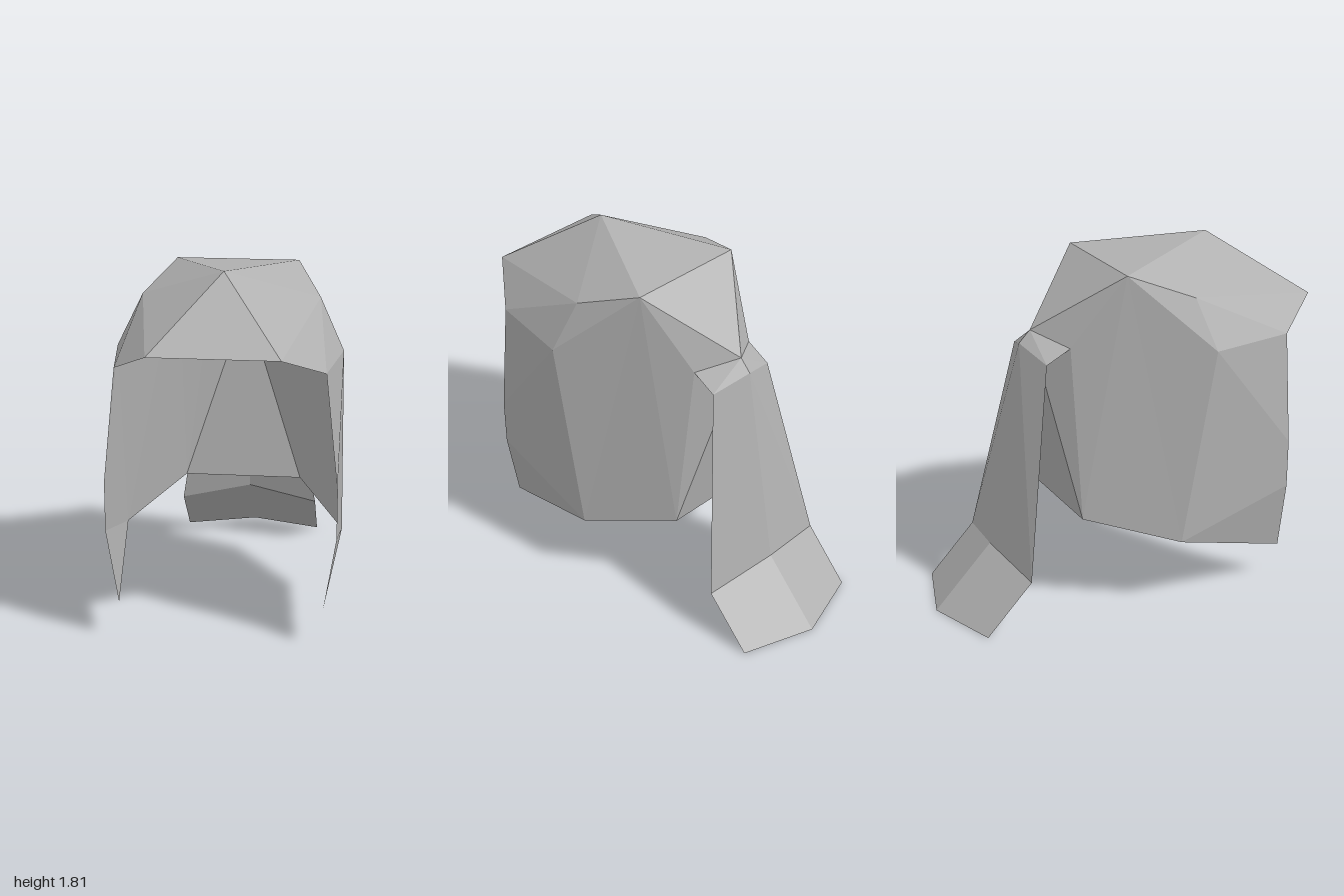
import * as THREE from 'three';

// Key points of the left half (+x); the right half is mirrored.
const P = {
  top: [0, 1.813, 0.56], fringeTip: [0.31, 1.5, 1], crownBack: [0.31, 1.75, -0.06],
  temple: [0.44, 1.63, 0.25], brow: [0.5, 1.38, 0.75], ear: [0.56, 1.38, 0.31],
  lockUpper: [0.56, 0.81, 0.75], lockLower: [0.56, 0.56, 0.75], lockTip: [0.5, 0.19, 0.75],
  hemSide: [0.56, 0.38, 0.125], hemBack: [0.31, 0.5, -0.31],
  knot: [0, 1.44, -0.44], knotSide: [0.19, 1.38, -0.31],
};

// Point on which every face turns its back, so all faces point outward.
const CENTRE = new THREE.Vector3(0, 0.9, 0.2);

const mirrored = (p) => [-p[0], p[1], p[2]];

// Faceted mesh from polygons of points, each split into a fan of triangles.
function facets(name, polygons, material) {
  const positions = [];
  for (const poly of polygons) {
    for (let i = 1; i < poly.length - 1; i++) {
      const [a, b, c] = [poly[0], poly[i], poly[i + 1]].map((p) => new THREE.Vector3(...p));
      const triangle = new THREE.Triangle(a, b, c);
      const normal = triangle.getNormal(new THREE.Vector3());
      const outward = triangle.getMidpoint(new THREE.Vector3()).sub(CENTRE);
      const order = normal.dot(outward) > 0 ? [a, b, c] : [a, c, b];
      order.forEach((v) => positions.push(v.x, v.y, v.z));
    }
  }
  const geometry = new THREE.BufferGeometry();
  geometry.setAttribute('position', new THREE.Float32BufferAttribute(positions, 3));
  geometry.computeVertexNormals();
  const mesh = new THREE.Mesh(geometry, material);
  mesh.name = name;
  return mesh;
}

const bothSides = (polygons) => [...polygons, ...polygons.map((poly) => poly.map(mirrored))];

export function createModel() {
  const group = new THREE.Group();
  group.name = 'hair';
  const hair = new THREE.MeshStandardMaterial({ color: 0xb0b0b0 });
  hair.name = 'hairGrey';
  hair.side = THREE.DoubleSide;
  hair.flatShading = true;

  // Crown: top of the head and the slope down to the knot
  group.add(facets('crown', [
    [P.top, P.crownBack, mirrored(P.crownBack)],
    [P.knot, P.crownBack, mirrored(P.crownBack)],
    ...bothSides([
      [P.top, P.crownBack, P.temple],
      [P.crownBack, P.temple, P.ear],
    ]),
  ], hair));

  // Fringe jutting forward over the face
  group.add(facets('fringe', [
    [P.top, P.fringeTip, mirrored(P.fringeTip)],
    ...bothSides([
      [P.top, P.temple, P.fringeTip],
      [P.fringeTip, P.temple, P.brow],
      [P.temple, P.ear, P.brow],
    ]),
  ], hair));

  // Long hair over the cheeks
  group.add(facets('sideLocks', bothSides([
    [P.brow, P.ear, P.lockUpper],
    [P.ear, P.hemSide, P.lockLower, P.lockUpper],
    [P.lockLower, P.hemSide, P.lockTip],
    [P.crownBack, P.ear, P.hemSide],
  ]), hair));

  // Back of the head, drawn in towards the knot
  group.add(facets('backHair', [
    [P.knot, P.hemBack, mirrored(P.hemBack)],
    ...bothSides([
      [P.crownBack, P.hemSide, P.hemBack],
      [P.crownBack, P.hemBack, P.knotSide],
      [P.crownBack, P.knotSide, P.knot],
      [P.knotSide, P.hemBack, P.knot],
    ]),
  ], hair));

  // Ponytail: ridged sheet through rows of [ridge, edge]
  const rows = [
    [P.knot, P.knotSide],
    [[0, 1.38, -0.5], [0.19, 1.315, -0.44]],
    [[0, 0.315, -0.69], [0.375, 0.25, -0.63]],
    [[0, 0, -1], [0.375, 0, -0.875]],
  ];
  const strips = rows.slice(1).map(([ridge, edge], i) => [rows[i][0], rows[i][1], edge, ridge]);
  group.add(facets('ponytail', bothSides(strips), hair));

  return group;
}
